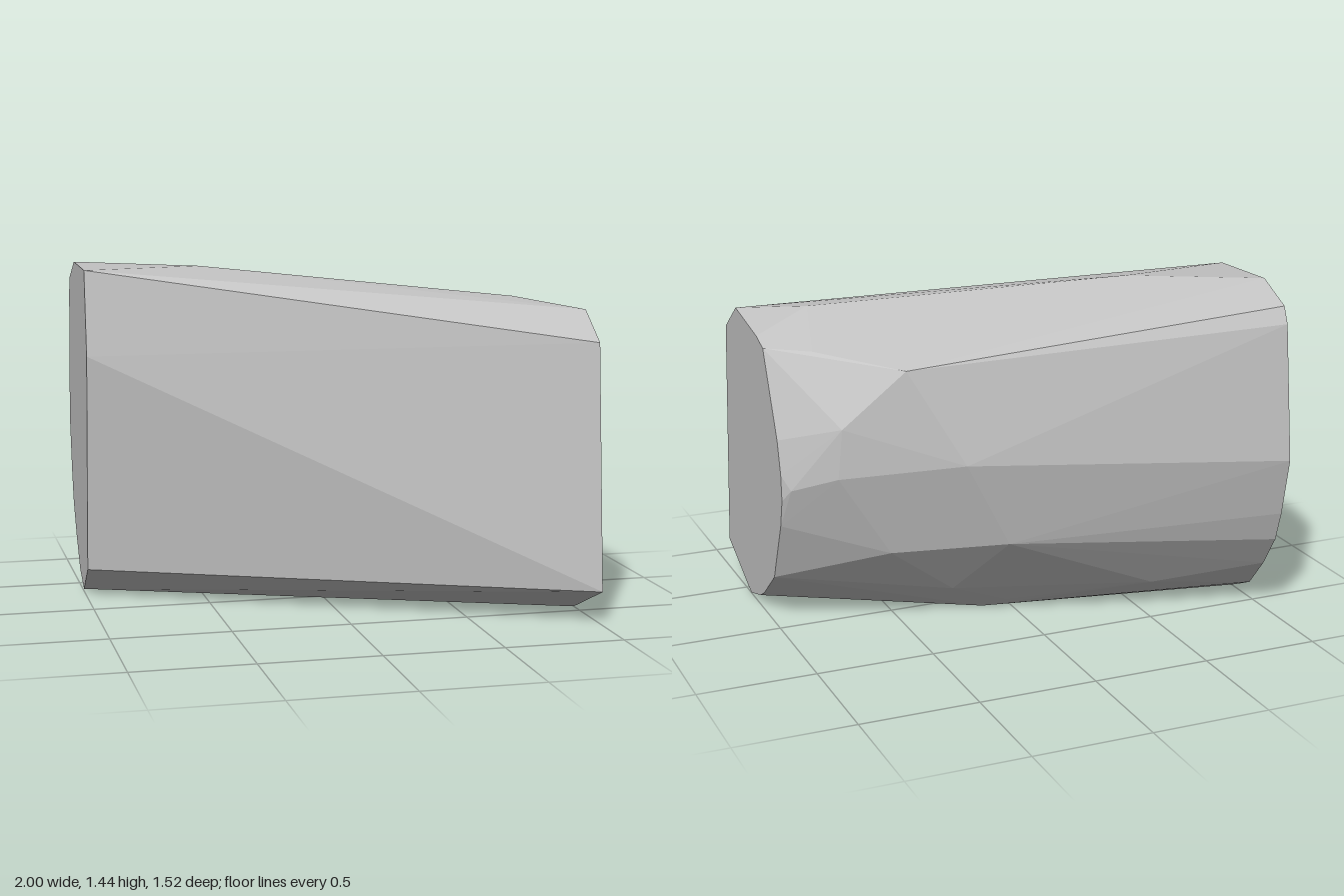
import * as THREE from 'three';
import { ConvexGeometry } from 'three/addons/geometries/ConvexGeometry.js';

// Faceted convex stone fragment with two flat parallel cut ends.
export function createModel() {
  const group = new THREE.Group();
  group.name = 'stoneFragment';
  const stone = new THREE.MeshStandardMaterial({ color: 0xc0c0c0 });
  stone.name = 'grey stone';

  // Cut-end outlines as [z, y]
  const leftEnd = [
    [0.76, 0.14], [0.67, 1.16], [0.5, 1.28], [0.2, 1.23], [0.11, 1.2], [-0.05, 0.85], [-0.085, 0.71],
    [-0.09, 0.6], [-0.06, 0.48], [0.06, 0.21], [0.22, 0.08], [0.28, 0.045], [0.43, 0],
  ];
  const rightEnd = [
    [-0.19, 0.13], [-0.09, 1.07], [-0.13, 1.43], [-0.49, 1.44], [-0.66, 1.36], [-0.69, 1.29],
    [-0.76, 0.72], [-0.71, 0.47], [-0.67, 0.34], [-0.58, 0.2], [-0.47, 0.07], [-0.34, 0.01],
  ];
  // Chipped corners between the ends as [x, y, z]
  const chips = [
    [-0.5, 1.435, -0.2], [0.76, 1.32, 0.26], [0.83, 1.2, -0.02], [0.53, 1.16, -0.31], // top
    [0.32, 0.77, -0.44], [0.8, 0.71, -0.23], [0.78, 0.92, -0.23], [0.97, 0.65, -0.125], // back
    [0.58, 0.36, -0.235], [0.127, 0.4, -0.426], [-0.3, 0.43, -0.52], // lower back
    [0.28, 0.13, -0.167], [0.03, 0.04, -0.17], [-0.547, 0.12, -0.411], [0.12, 0.002, -0.11], // underside
  ];
  const points = [
    ...leftEnd.map(([z, y]) => new THREE.Vector3(1, y, z)),
    ...rightEnd.map(([z, y]) => new THREE.Vector3(-1, y, z)),
    ...chips.map((p) => new THREE.Vector3(...p)),
  ];

  const body = new THREE.Mesh(new ConvexGeometry(points), stone);
  body.name = 'stoneBody';
  group.add(body);
  return group;
}
